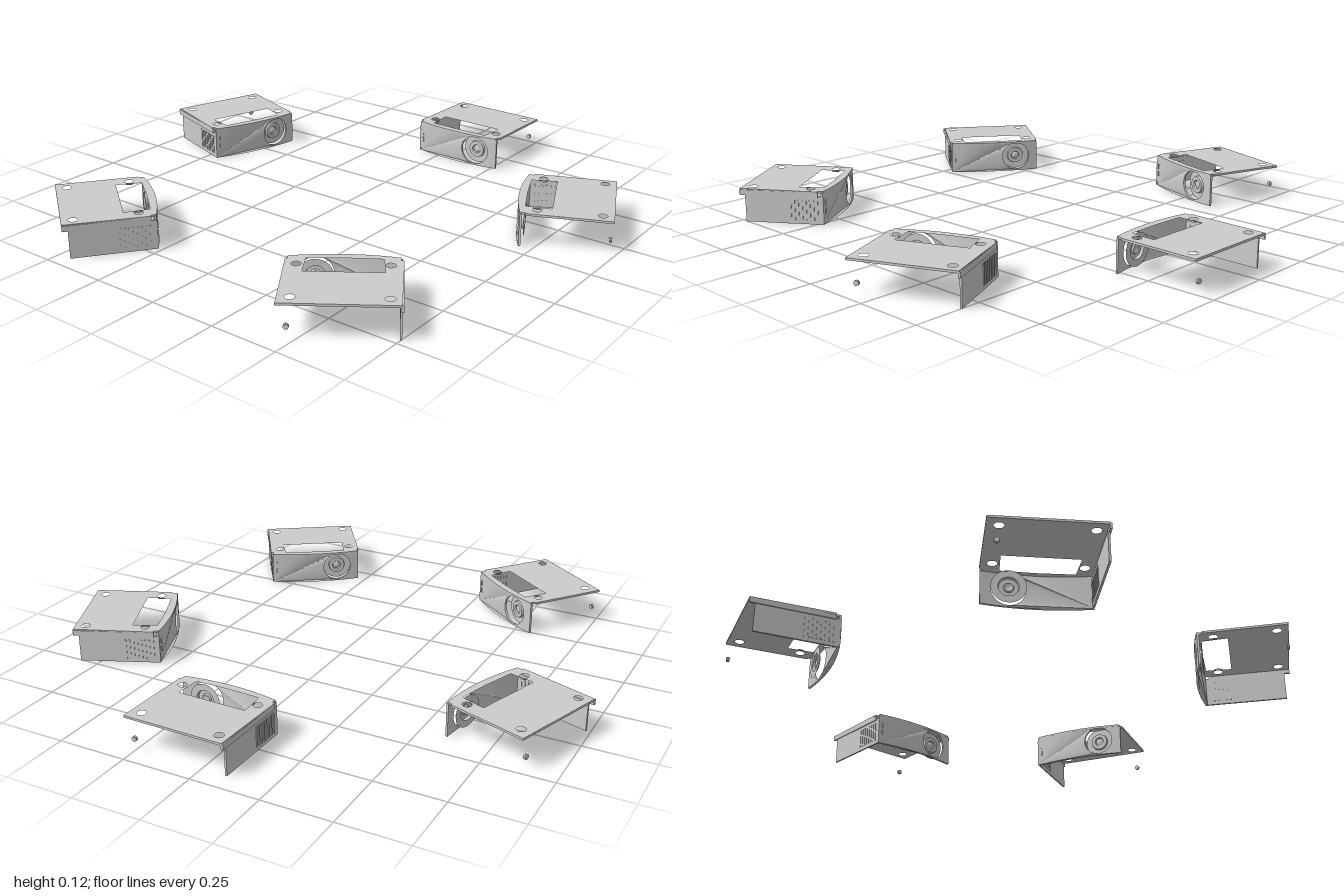
import * as THREE from 'three';

const H = 0.125; // casing height
const frontZ = x => 0.165 - 0.02 * (x / 0.185) ** 2; // bowed front in plan
const mat = new THREE.MeshStandardMaterial({ color: 0xcccccc, flatShading: true });
const thin = new THREE.MeshStandardMaterial({ color: 0xcccccc, flatShading: true, side: THREE.DoubleSide });

function add(group, name, geometry, material = mat) {
  const mesh = new THREE.Mesh(geometry, material);
  mesh.name = name;
  group.add(mesh);
  return mesh;
}

function box(group, name, w, h, d, x, y, z) {
  add(group, name, new THREE.BoxGeometry(w, h, d)).position.set(x, y, z);
}

function circleHole(x, y, r) {
  return new THREE.Path().absarc(x, y, r, 0, Math.PI * 2, true);
}

function extrude(shape, depth, curveSegments = 16) {
  return new THREE.ExtrudeGeometry(shape, { depth, bevelEnabled: false, curveSegments });
}

// Lid: flat plate with bowed front edge, lamp window and four screw holes
function lidGeometry() {
  const pts = [[-0.182, -0.17], [0.188, -0.17], [0.185, 0.125], [0.178, 0.128]];
  for (let i = 0; i <= 16; i++) {
    const x = 0.178 - (i / 16) * 0.356;
    pts.push([x, frontZ(x)]);
  }
  pts.push([-0.178, 0.128], [-0.188, 0.125]);
  // Shape y is -z so that the plate lies flat after rotation
  const shape = new THREE.Shape(pts.map(([x, z]) => new THREE.Vector2(x, -z)));
  for (const x of [-0.147, 0.147])
    for (const z of [-0.13, 0.09]) shape.holes.push(circleHole(x, -z, 0.016));
  shape.holes.push(new THREE.Path([[-0.13, 0.04], [0.125, 0.04], [0.12, 0.132], [0, 0.136], [-0.125, 0.132]]
    .map(([x, z]) => new THREE.Vector2(x, -z))));
  return extrude(shape, 0.008).rotateX(-Math.PI / 2).translate(0, H - 0.008, 0);
}

// Front wall: flat panel with a lens opening, bent to the bowed plan
function frontGeometry() {
  const pts = [];
  const w = 0.182, n = 20;
  for (let i = 0; i <= n; i++) pts.push(new THREE.Vector2(-w + (2 * w * i) / n, 0));
  for (let i = n; i >= 0; i--) pts.push(new THREE.Vector2(-w + (2 * w * i) / n, H - 0.004));
  const shape = new THREE.Shape(pts);
  shape.holes.push(circleHole(0.09, 0.063, 0.057));
  const g = extrude(shape, 0.008, 32);
  const p = g.attributes.position;
  for (let i = 0; i < p.count; i++) p.setZ(i, p.getZ(i) - 0.008 + frontZ(p.getX(i)));
  g.computeVertexNormals();
  return g;
}

// Lens: recessed disc with a stepped barrel and glass
function lensGeometry() {
  const profile = [[0.058, 0], [0.034, 0], [0.032, 0.01], [0.018, 0.01], [0.015, 0.004], [0.008, 0.007], [0, 0.008]];
  return new THREE.LatheGeometry(profile.map(([r, y]) => new THREE.Vector2(r, y)), 32).rotateX(Math.PI / 2);
}

function createProjector(geo) {
  const g = new THREE.Group();
  g.name = 'projector';
  add(g, 'lid', geo.lid);
  add(g, 'frontWall', geo.front);
  add(g, 'lens', geo.lens, thin).position.set(0.09, 0.063, 0.134);

  // Side wall below a slightly overhanging lid skirt
  box(g, 'sideWall', 0.007, 0.106, 0.297, -0.1795, 0.053, -0.0015);
  box(g, 'lidSkirt', 0.008, 0.02, 0.298, -0.183, 0.112, -0.021);

  // Cooling vent ribs near the front of the side wall
  for (let i = 0; i < 8; i++)
    box(g, 'ventRib', 0.011, 0.075, 0.006, -0.1795, 0.052, 0.022 + i * 0.0145);

  // Small indicator bars on the front
  for (const y of [0.05, 0.08])
    box(g, 'indicator', 0.006, 0.02, 0.006, -0.165, y, frontZ(-0.165));

  // Rear socket
  const socket = add(g, 'rearSocket', new THREE.CylinderGeometry(0.009, 0.009, 0.01, 10));
  socket.rotation.x = Math.PI / 2;
  socket.position.set(0.157, 0.045, -0.162);
  return g;
}

export function createModel() {
  const model = new THREE.Group();
  model.name = 'projectorRing';
  const geo = { lid: lidGeometry(), front: frontGeometry(), lens: lensGeometry() };
  // Each projector: centre x, z and facing direction x, z
  const placements = [
    [0.78, 0.087, -1, -0.015],
    [0.268, -0.785, -0.32, 0.95],
    [-0.719, -0.501, 0.8, 0.6],
    [-0.705, 0.517, 0.823, -0.567],
    [0.275, 0.759, -0.407, -0.913],
  ];
  for (const [x, z, fx, fz] of placements) {
    const projector = createProjector(geo);
    projector.position.set(x, 0, z);
    projector.rotation.y = Math.atan2(fx, fz);
    model.add(projector);
  }
  return model;
}
